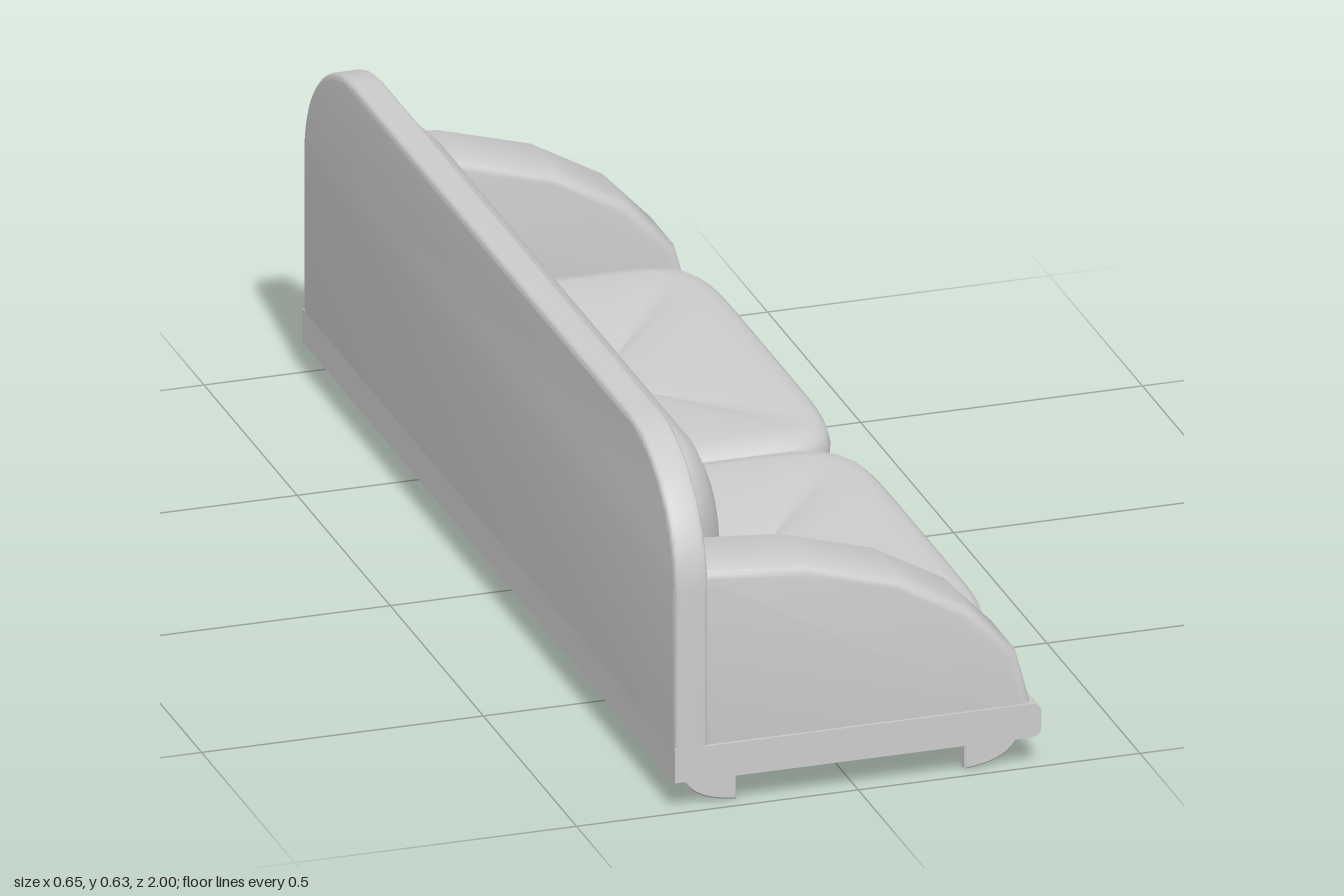
import * as THREE from 'three';
import { toCreasedNormals } from 'three/addons/utils/BufferGeometryUtils.js';

const material = new THREE.MeshStandardMaterial({ color: 0xcccccc });

function part(name, geometry, crease = 0.65) {
  const mesh = new THREE.Mesh(toCreasedNormals(geometry, crease), material);
  mesh.name = name;
  return mesh;
}

// Extrude whose bevel stays inside the outline and the depth
function slab(shape, depth, bevel, segments = 3) {
  const geometry = new THREE.ExtrudeGeometry(shape, {
    depth: depth - 2 * bevel, bevelEnabled: bevel > 0, bevelSize: bevel,
    bevelThickness: bevel, bevelOffset: -bevel, bevelSegments: segments, curveSegments: 16,
  });
  return geometry.translate(0, 0, bevel);
}

// Skin over closed rings of equal point count
function loft(rings) {
  const n = rings[0].length;
  const index = [];
  for (let i = 0; i < rings.length - 1; i++) {
    for (let j = 0; j < n; j++) {
      const k = (j + 1) % n;
      const a = i * n + j, b = a + n, c = i * n + k, d = c + n;
      index.push(a, c, b, c, d, b);
    }
  }
  const geometry = new THREE.BufferGeometry();
  geometry.setAttribute('position', new THREE.Float32BufferAttribute(rings.flat(2), 3));
  geometry.setIndex(index);
  geometry.computeVertexNormals();
  return geometry;
}

// Tufted seat cushion: rings run from the button out over the rim and under
function seatGeometry() {
  const profile = [[0, 0.176], [0.09, 0.178], [0.25, 0.188], [0.5, 0.198], [0.75, 0.203], [0.88, 0.203],
    [0.94, 0.199], [0.98, 0.188], [1, 0.165], [0.995, 0.14], [0.97, 0.113], [0, 0.113]];
  const count = 96, power = 7;
  return loft(profile.map(([s, y], i) => {
    const ring = [];
    for (let j = 0; j < count; j++) {
      const t = (j / count) * Math.PI * 2;
      const c = Math.cos(t), w = Math.sin(t);
      const r = s / Math.pow(Math.abs(c) ** power + Math.abs(w) ** power, 1 / power);
      const offDiagonal = Math.abs(Math.cos(2 * t));
      const crease = i < 6 ? 0.01 * Math.sin(Math.PI * Math.min(1, s)) * Math.exp(-offDiagonal * 5) : 0;
      ring.push([0.027 * s + 0.291 * r * c, y - crease, 0.415 * r * w]);
    }
    return ring;
  }));
}

// Bolster against the back: rounded-top outlines growing from front to rear
function bolsterGeometry() {
  const ring = (x, inset) => {
    const w = 0.84 - inset, top = 0.58 - inset, r = 0.14 - inset * 0.3;
    const points = [[x, 0.12, w]];
    for (const side of [1, -1]) {
      for (let k = 0; k <= 10; k++) {
        const a = (side > 0 ? k : 10 - k) / 10 * Math.PI / 2;
        points.push([x, top - r + r * Math.sin(a), side * (w - r + r * Math.cos(a))]);
      }
    }
    points.push([x, 0.12, -w]);
    return points;
  };
  const rings = [[-0.138, 0.26], [-0.145, 0.16], [-0.161, 0.1], [-0.19, 0.045], [-0.225, 0.012], [-0.268, 0]]
    .map(([x, inset]) => ring(x, inset));
  rings.unshift(rings[0].map(() => [-0.138, 0.2, 0]));
  return loft(rings);
}

export function createModel() {
  const sofa = new THREE.Group();
  sofa.name = 'sofa';

  // Base plank, rounded along the front
  const plank = new THREE.Shape();
  plank.moveTo(-0.325, 0.055);
  plank.lineTo(0.308, 0.055);
  plank.quadraticCurveTo(0.325, 0.058, 0.325, 0.072);
  plank.lineTo(0.325, 0.1);
  plank.quadraticCurveTo(0.325, 0.112, 0.312, 0.116);
  plank.lineTo(-0.325, 0.116);
  sofa.add(part('base', slab(plank, 2, 0).translate(0, 0, -1)));

  // Back board with rounded upper corners
  const board = new THREE.Shape();
  board.moveTo(-1, 0.095);
  board.lineTo(1, 0.095);
  board.lineTo(1, 0.4);
  board.absellipse(0.74, 0.4, 0.26, 0.23, 0, Math.PI / 2);
  board.lineTo(-0.74, 0.63);
  board.absellipse(-0.74, 0.4, 0.26, 0.23, Math.PI / 2, Math.PI);
  const back = slab(board, 0.06, 0.01).rotateY(Math.PI / 2).translate(-0.325, 0, 0);
  sofa.add(part('backBoard', back));

  sofa.add(part('backCushion', bolsterGeometry()));

  // Sloping arms
  const armOutline = [[-0.29, 0.08], [-0.29, 0.437], [-0.265, 0.435], [-0.09, 0.42], [0.075, 0.373],
    [0.2, 0.302], [0.285, 0.212], [0.311, 0.115], [0.313, 0.08]].reverse();
  const armShape = new THREE.Shape(armOutline.map(([x, y]) => new THREE.Vector2(x, y)));
  for (const side of [1, -1]) {
    const arm = part(side > 0 ? 'armFront' : 'armRear', slab(armShape, 0.16, 0.018, 4), 0.6);
    arm.position.z = side > 0 ? 0.835 : -0.995;
    sofa.add(arm);
  }

  // Seat cushions, each with a button
  for (const side of [1, -1]) {
    const seat = new THREE.Group();
    seat.name = 'seat';
    seat.position.z = side * 0.416;
    const button = part('button', new THREE.SphereGeometry(0.036, 24, 12));
    button.scale.y = 0.35;
    button.position.set(0, 0.18, 0);
    seat.add(part('seatCushion', seatGeometry(), 0.8), button);
    sofa.add(seat);
  }

  // Shallow pad under the base
  const pad = new THREE.Shape();
  pad.moveTo(-0.2, 0.06);
  pad.bezierCurveTo(-0.24, 0.3, -0.24, 0.55, -0.2, 0.79);
  pad.bezierCurveTo(-0.1, 0.82, 0.1, 0.82, 0.2, 0.79);
  pad.bezierCurveTo(0.24, 0.55, 0.24, 0.3, 0.2, 0.06);
  pad.bezierCurveTo(0.1, 0.03, -0.1, 0.03, -0.2, 0.06);
  sofa.add(part('underPad', slab(pad, 0.01, 0).rotateX(Math.PI / 2).translate(0, 0.061, 0)));

  // Curved feet at the four corners
  const foot = new THREE.Shape();
  foot.moveTo(0.198, 0.06);
  foot.lineTo(0.198, 0);
  foot.bezierCurveTo(0.25, 0.004, 0.29, 0.02, 0.296, 0.06);
  for (const front of [true, false]) {
    for (const side of [1, -1]) {
      const leg = part('foot', slab(foot, 0.022, 0.003, 1).translate(0, 0, -0.011));
      leg.rotation.y = front ? 0 : Math.PI;
      leg.position.set(front ? 0 : -0.009, 0, side * 0.962);
      sofa.add(leg);
    }
  }
  return sofa;
}
